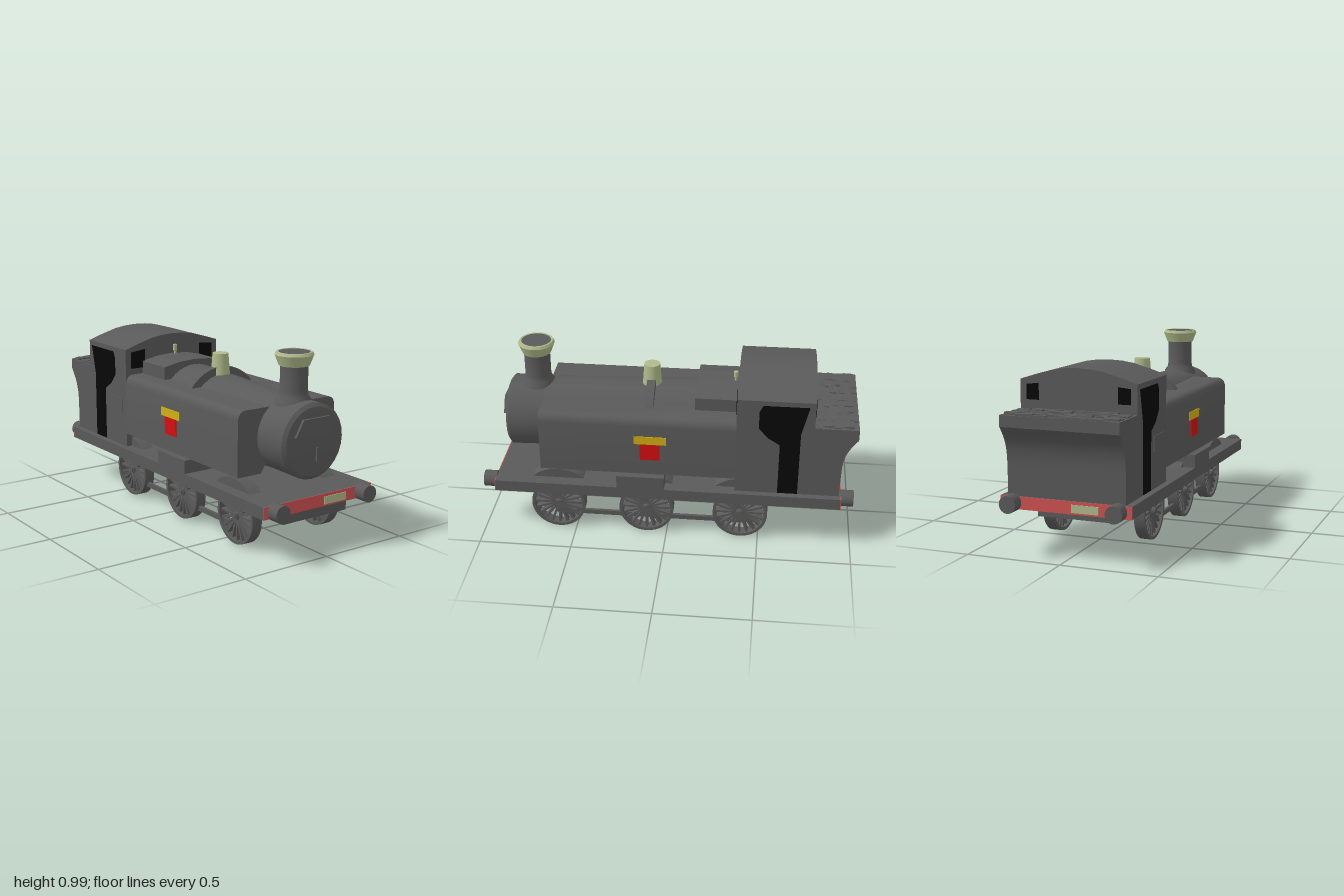
import * as THREE from 'three';
import { toCreasedNormals, mergeGeometries } from 'three/addons/utils/BufferGeometryUtils.js';

const mat = (name, color) => {
  const m = new THREE.MeshStandardMaterial({ color });
  m.name = name;
  return m;
};

export function createModel() {
  const root = new THREE.Group();
  root.name = 'tankLocomotive';
  const grey = mat('bodyGrey', 0x5a5a5a), black = mat('openingBlack', 0x080808);
  const red = mat('badgeRed', 0xd60e0e), yellow = mat('badgeYellow', 0xd2b012);
  const beam = mat('beamRed', 0xcf5252), brass = mat('paleBrass', 0xb0ba8c);

  const add = (name, geo, m = grey) => {
    const mesh = new THREE.Mesh(geo, m);
    mesh.name = name;
    root.add(mesh);
    return mesh;
  };
  // Box given by its limits on each axis
  const box = (x0, x1, y0, y1, z0, z1) =>
    new THREE.BoxGeometry(x1 - x0, y1 - y0, z1 - z0).translate((x0 + x1) / 2, (y0 + y1) / 2, (z0 + z1) / 2);
  const shapeOf = (pts) => new THREE.Shape(pts.map(([a, b]) => new THREE.Vector2(a, b)));
  // (x, y) outline drawn out from z0 to z1
  const alongZ = (shape, z0, z1) =>
    new THREE.ExtrudeGeometry(shape, { depth: z1 - z0, bevelEnabled: false, curveSegments: 8 }).translate(0, 0, z0);
  // (z, y) outline drawn out from x0 to x1
  const alongX = (shape, x0, x1) =>
    new THREE.ExtrudeGeometry(shape, { depth: x1 - x0, bevelEnabled: false, curveSegments: 8 })
      .rotateY(-Math.PI / 2).translate(x1, 0, 0);
  const lathe = (pts, seg = 32, crease = 0.5) =>
    toCreasedNormals(new THREE.LatheGeometry(pts.map(([r, y]) => new THREE.Vector2(r, y)), seg), crease);
  const rodX = (r, x0, x1, y, z) =>
    new THREE.CylinderGeometry(r, r, x1 - x0, 16).rotateZ(Math.PI / 2).translate((x0 + x1) / 2, y, z);
  const rodZ = (rFront, rBack, z0, z1, x, y, seg = 40) =>
    new THREE.CylinderGeometry(rFront, rBack, z1 - z0, seg).rotateX(Math.PI / 2).translate(x, y, (z0 + z1) / 2);

  // Running plate, underframe and the box below the tanks
  add('runningPlate', box(-0.345, 0.345, 0.237, 0.3, -0.93, 0.93));
  add('underframe', box(-0.205, 0.205, 0.177, 0.24, -0.81, 0.905));
  add('tankSupport', box(-0.345, 0.345, 0.3, 0.372, 0.01, 0.265));

  // Red end beams, number plates and bumpers at both ends
  for (const s of [1, -1]) {
    const end = s > 0 ? 'front' : 'rear';
    const plate = (x0, x1, y0, y1, d0, d1) => box(x0, x1, y0, y1, Math.min(s * d0, s * d1), Math.max(s * d0, s * d1));
    add(end + 'Beam', plate(-0.345, 0.345, 0.236, 0.3, 0.93, 0.934), beam);
    add(end + 'NumberPlate', plate(Math.min(s * 0.033, s * 0.175), Math.max(s * 0.033, s * 0.175), 0.245, 0.285, 0.934, 0.938), brass);
    for (const x of [-0.277, 0.277])
      add(end + 'Bumper', rodZ(0.044, 0.044, s > 0 ? 0.93 : -1, s > 0 ? 1 : -0.93, x, 0.27, 24));
  }

  // Wheels: open rim, hub and spokes; axles and coupling rods
  const wheelSides = [[-0.262, -0.204], [0.246, 0.306]];
  const wheelZ = [0.595, 0.11, -0.4];
  const wheelR = 0.148;
  const wheelGeometry = (width) => {
    const h = width / 2;
    const rim = lathe([[0.132, -h], [wheelR, -h], [wheelR, h], [0.132, h], [0.132, -h]], 40).rotateZ(Math.PI / 2);
    const parts = [rim, rodX(0.022, -h, h, 0, 0).toNonIndexed()];
    for (let i = 0; i < 20; i++)
      parts.push(new THREE.BoxGeometry(width * 0.6, 0.122, 0.012).translate(0, 0.076, 0)
        .rotateX((i / 20) * Math.PI * 2).toNonIndexed());
    return mergeGeometries(parts);
  };
  for (const z of wheelZ) {
    add('axle', rodX(0.016, -0.27, 0.313, 0.15, z));
    for (const [x0, x1] of wheelSides)
      add('wheel', wheelGeometry(x1 - x0)).position.set((x0 + x1) / 2, wheelR, z);
  }
  for (const [x0, x1] of wheelSides) {
    const c = (x0 + x1) / 2;
    add('couplingRod', box(c - 0.008, c + 0.008, 0.074, 0.1, -0.43, 0.61));
  }

  // Splashers: circle segments above the plate
  const splasher = new THREE.Shape();
  const start = Math.asin(0.157 / 0.21);
  splasher.absarc(0, 0.143, 0.21, start, Math.PI - start, false);
  for (const z of wheelZ)
    for (const x of [-0.277, 0.205])
      add('splasher', toCreasedNormals(alongX(splasher, x, x + 0.072).translate(0, 0, z), 0.5));

  // Side tanks with rounded shoulders, notched underneath for the boiler
  const tank = new THREE.Shape();
  tank.moveTo(0.31, 0.375);
  tank.lineTo(0.31, 0.665);
  tank.quadraticCurveTo(0.305, 0.71, 0.265, 0.712);
  tank.lineTo(-0.265, 0.712);
  tank.quadraticCurveTo(-0.305, 0.71, -0.31, 0.665);
  tank.lineTo(-0.31, 0.375);
  for (const [x, y] of [[-0.165, 0.375], [-0.13, 0.43], [0.13, 0.43], [0.165, 0.375]]) tank.lineTo(x, y);
  add('sideTanks', toCreasedNormals(alongZ(tank, -0.366, 0.68), 0.5));

  // Tapered boiler and the smokebox with a shallow domed door
  add('boiler', rodZ(0.19, 0.226, -0.366, 0.69, 0, 0.56));
  add('smokebox', lathe([[0, 0.66], [0.19, 0.66], [0.194, 0.872], [0.175, 0.887], [0.1, 0.9], [0, 0.906]], 28, 0.3)
    .rotateX(Math.PI / 2).translate(0, 0.56, 0));

  // Handrail strip and handle on the smokebox door
  add('doorHandrail', alongZ(shapeOf([[-0.13, 0.6], [-0.082, 0.683], [0.082, 0.683], [0.13, 0.6],
    [0.118, 0.6], [0.076, 0.67], [-0.076, 0.67], [-0.118, 0.6]]), 0.88, 0.907));
  add('doorHandle', alongZ(shapeOf([[0, 0.465], [0.012, 0.465], [0.012, 0.515], [0.06, 0.494], [0.06, 0.505],
    [0.008, 0.536], [0, 0.536]]), 0.89, 0.911));

  // Chimney with flared foot and pale cap
  add('chimney', lathe([[0.095, 0.72], [0.09, 0.745], [0.075, 0.765], [0.07, 0.79], [0.07, 0.925]])
    .translate(-0.007, 0, 0.733));
  add('chimneyCap', lathe([[0.07, 0.918], [0.077, 0.918], [0.098, 0.972], [0.09, 0.986], [0.08, 0.986], [0.078, 0.978]])
    .translate(-0.007, 0, 0.733), brass);
  add('chimneyMouth', new THREE.CylinderGeometry(0.08, 0.08, 0.006, 32).translate(-0.007, 0.981, 0.733));

  // Boiler band with the valve dome on it
  add('boilerBand', rodZ(0.25, 0.25, 0.082, 0.128, -0.006, 0.56));
  add('valveDome', new THREE.CylinderGeometry(0.043, 0.053, 0.13, 24).translate(0, 0.815, 0.106), brass);

  // Firebox and whistle
  add('firebox', alongZ(shapeOf([[-0.2, 0.66], [0.186, 0.66], [0.186, 0.782], [0.1, 0.8], [0, 0.807],
    [-0.1, 0.801], [-0.2, 0.782]]), -0.37, -0.14));
  add('whistle', lathe([[0.007, 0.79], [0.007, 0.82], [0.012, 0.825], [0.012, 0.858], [0, 0.862]], 12)
    .translate(0.006, 0, -0.345), brass);

  // Cab with arched roof
  add('cab', toCreasedNormals(alongZ(shapeOf([[-0.31, 0.3], [0.31, 0.3], [0.31, 0.855], [0.225, 0.882], [0.135, 0.907],
    [0.07, 0.917], [0, 0.92], [-0.07, 0.917], [-0.135, 0.907], [-0.225, 0.882], [-0.31, 0.855]]), -0.77, -0.366), 0.3));

  // Bunker with a rear wall that flares outwards
  const bunker = new THREE.Shape();
  bunker.moveTo(-0.76, 0.3);
  bunker.lineTo(-0.76, 0.708);
  bunker.lineTo(-0.998, 0.708);
  bunker.lineTo(-0.998, 0.65);
  bunker.bezierCurveTo(-0.96, 0.6, -0.923, 0.56, -0.923, 0.45);
  bunker.lineTo(-0.92, 0.3);
  add('bunker', toCreasedNormals(alongX(bunker, -0.31, 0.31), 0.5));

  // Coal: rows of uneven slabs
  let seed = 7;
  const rnd = () => (seed = (seed * 16807) % 2147483647) / 2147483647;
  const lumps = [];
  for (let i = 0; i < 10; i++)
    for (let j = 0; j < 8; j++) {
      const w = 0.05 + rnd() * 0.045, d = 0.022 + rnd() * 0.008;
      lumps.push(new THREE.BoxGeometry(w, 0.02, d).rotateZ((rnd() - 0.5) * 0.2)
        .translate(-0.255 + j * 0.073, 0.698 + rnd() * 0.012, -0.795 - i * 0.0205));
    }
  add('coal', mergeGeometries(lumps));

  // Cab windows, front and rear
  for (const s of [1, -1]) {
    const front = [[s * 0.186, 0.746], [s * 0.275, 0.746], [s * 0.275, 0.838], [s * 0.186, 0.848]];
    add('frontWindow', alongZ(shapeOf(front), -0.368, -0.362), black);
    const rear = [[s * 0.21, 0.755], [s * 0.275, 0.755], [s * 0.275, 0.832], [s * 0.21, 0.838]];
    add('rearWindow', alongZ(shapeOf(rear), -0.774, -0.768), black);
  }

  // Doorways and badges on both sides
  const doorway = shapeOf([[-0.5, 0.828], [-0.738, 0.828], [-0.7, 0.67], [-0.7, 0.303], [-0.594, 0.303],
    [-0.594, 0.6], [-0.53, 0.64], [-0.482, 0.695], [-0.482, 0.79]]);
  for (const x0 of [0.308, -0.314]) {
    const x1 = x0 + 0.006;
    add('cabDoorway', alongX(doorway, x0, x1), black);
    add('badgeTop', box(x0, x1, 0.56, 0.606, 0, 0.171), yellow);
    add('badgeShield', box(x0, x1, 0.465, 0.56, 0.034, 0.14), red);
  }
  add('cabSidePlate', box(-0.314, -0.308, 0.49, 0.57, -0.55, -0.41));

  return root;
}
